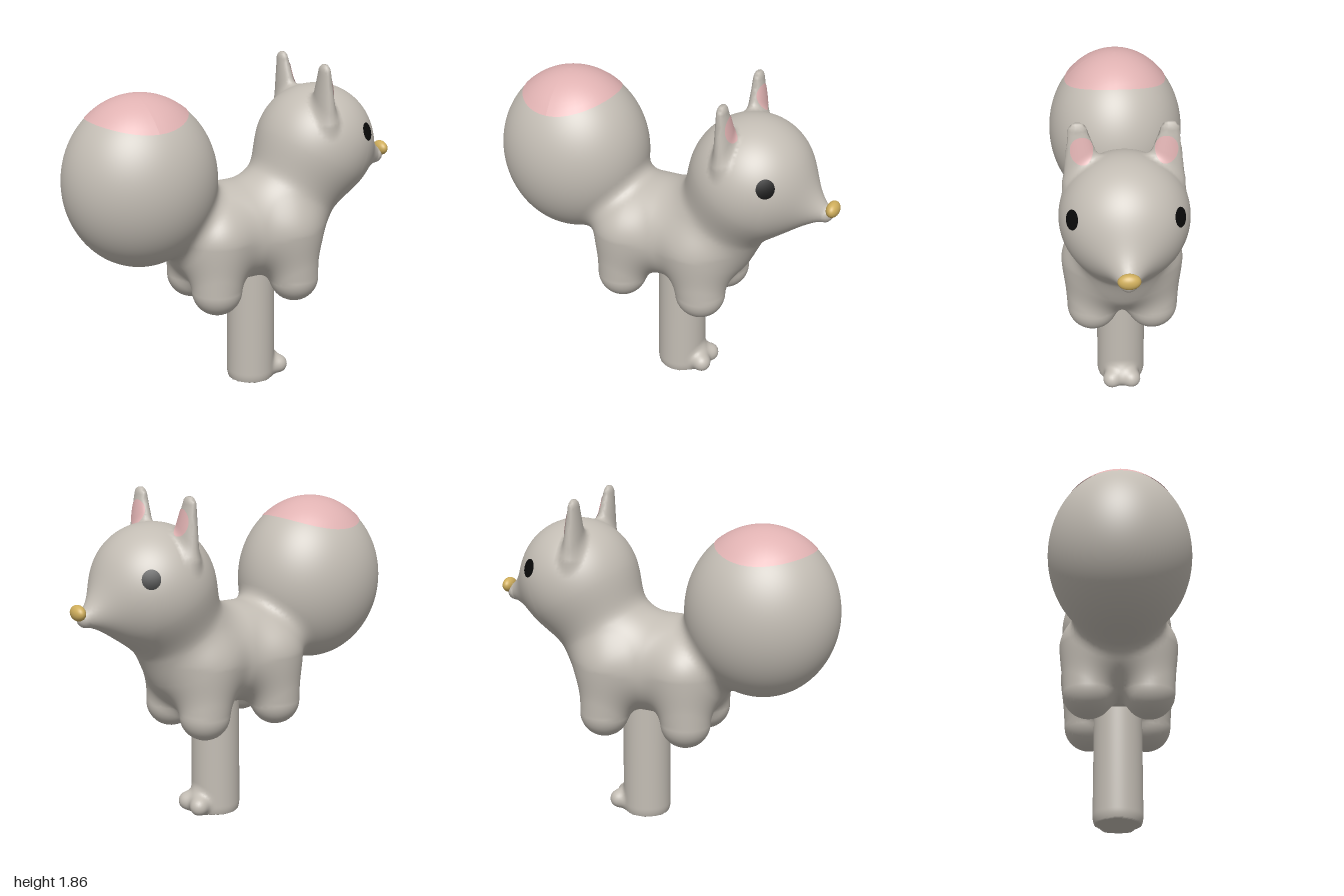
import * as THREE from 'three';

const V = (x, y, z) => new THREE.Vector3(x, y, z);
const material = (name, color, extra = {}) => Object.assign(new THREE.MeshStandardMaterial({ color, ...extra }), { name });

// Tapered capsule from a to b, radii ra to rb, stretched by s, blended over distance k
const limb = (a, b, ra, rb, k, s = [1, 1, 1]) => {
  const d = [0, 1, 2].map(i => (b[i] - a[i]) / s[i]);
  const dd = d[0] ** 2 + d[1] ** 2 + d[2] ** 2 || 1;
  const dist = (x, y, z) => {
    const qx = (x - a[0]) / s[0], qy = (y - a[1]) / s[1], qz = (z - a[2]) / s[2];
    const t = Math.min(1, Math.max(0, (qx * d[0] + qy * d[1] + qz * d[2]) / dd));
    return Math.hypot(qx - d[0] * t, qy - d[1] * t, qz - d[2] * t) - ra - (rb - ra) * t;
  };
  return { dist, k };
};
const ball = (c, r, k, s) => limb(c, c, r, r, k, s);
const pair = make => [make(1), make(-1)];

// Smooth union of all limbs, cut flat at the ground
const blend = limbs => (x, y, z) => {
  let f = 10;
  for (const { dist, k } of limbs) {
    const g = dist(x, y, z), h = Math.max(k - Math.abs(f - g), 0);
    f = Math.min(f, g) - (h * h) / (4 * k);
  }
  return Math.max(f, -y);
};

const gradient = (f, p, e = 0.004) => V(
  f(p.x + e, p.y, p.z) - f(p.x - e, p.y, p.z),
  f(p.x, p.y + e, p.z) - f(p.x, p.y - e, p.z),
  f(p.x, p.y, p.z + e) - f(p.x, p.y, p.z - e)).divideScalar(2 * e);

// Smooth skin around a blended form: one vertex per crossed cell, one quad per crossed edge
function skin(f, min, max, step) {
  const n = [0, 1, 2].map(i => Math.ceil((max[i] - min[i]) / step) + 1);
  const stride = [1, n[0], n[0] * n[1]];
  const values = new Float32Array(n[0] * n[1] * n[2]);
  const eachCell = visit => {
    for (let k = 0; k < n[2]; k++) for (let j = 0; j < n[1]; j++) for (let i = 0; i < n[0]; i++)
      visit([i, j, k], i + j * stride[1] + k * stride[2]);
  };
  eachCell((c, id) => { values[id] = f(...c.map((v, a) => min[a] + v * step)); });

  const vertexOf = new Int32Array(values.length).fill(-1);
  const positions = [], normals = [], index = [];
  eachCell((c, id) => {
    if (c.some((v, a) => v >= n[a] - 1)) return;
    const sum = [0, 0, 0];
    let count = 0;
    for (let corner = 0; corner < 8; corner++) for (let a = 0; a < 3; a++) {
      if (corner & (1 << a)) continue;
      const o = [corner & 1, (corner >> 1) & 1, corner >> 2];
      const start = id + o[0] + o[1] * stride[1] + o[2] * stride[2];
      const v0 = values[start], v1 = values[start + stride[a]];
      if (v0 < 0 === v1 < 0) continue;
      o[a] += v0 / (v0 - v1);
      o.forEach((v, i) => { sum[i] += v; });
      count++;
    }
    if (!count) return;
    const p = V(...sum.map((s, a) => min[a] + (c[a] + s / count) * step));
    const g = gradient(f, p);
    const pull = THREE.MathUtils.clamp(f(p.x, p.y, p.z) / Math.max(g.lengthSq(), 0.2), -step / 2, step / 2);
    p.addScaledVector(g, -pull);
    const normal = gradient(f, p).normalize();
    vertexOf[id] = positions.length / 3;
    positions.push(p.x, p.y, p.z);
    normals.push(normal.x, normal.y, normal.z);
  });
  eachCell((c, id) => {
    for (let a = 0; a < 3; a++) {
      const u = (a + 1) % 3, v = (a + 2) % 3;
      if (c[a] >= n[a] - 1 || !c[u] || !c[v]) continue;
      const inside = values[id] < 0;
      if (inside === values[id + stride[a]] < 0) continue;
      const q = [id - stride[u] - stride[v], id - stride[v], id, id - stride[u]].map(m => vertexOf[m]);
      if (!inside) q.reverse();
      if (q.includes(-1)) continue;
      index.push(q[0], q[1], q[2], q[0], q[2], q[3]);
    }
  });
  const geometry = new THREE.BufferGeometry();
  geometry.setAttribute('position', new THREE.Float32BufferAttribute(positions, 3));
  geometry.setAttribute('normal', new THREE.Float32BufferAttribute(normals, 3));
  geometry.setIndex(index);
  return geometry;
}

// Oval patch laid onto a blended form, looking along n
function patch(f, center, n, up, rx, ry, lift) {
  n.normalize();
  const geometry = new THREE.RingGeometry(0, 1, 40, 12);
  const turn = new THREE.Matrix4().lookAt(n, V(0, 0, 0), up);
  const pos = geometry.attributes.position, p = V(0, 0, 0);
  for (let i = 0; i < pos.count; i++) {
    p.set(pos.getX(i) * rx, pos.getY(i) * ry, 0).applyMatrix4(turn).add(center).addScaledVector(n, lift);
    for (let s = 0; s < 80; s++) p.addScaledVector(n, -0.5 * (f(p.x, p.y, p.z) - 0.004));
    pos.setXYZ(i, p.x, p.y, p.z);
  }
  geometry.computeVertexNormals();
  return geometry;
}

export function createModel() {
  const model = new THREE.Group();
  model.name = 'foxFigure';
  const fur = material('warm grey fur', 0xc3bdb4);
  const pink = material('soft pink', 0xe0b2b2, { side: THREE.DoubleSide });
  const black = material('eye black', 0x0a0a0a, { side: THREE.DoubleSide });
  const gold = material('nose gold', 0xcfae5c);
  const add = (name, geometry, mat) => {
    const mesh = new THREE.Mesh(geometry, mat);
    mesh.name = name;
    model.add(mesh);
    return mesh;
  };

  // Torso, neck, head, snout, four stubby legs, ears and round tail, all flowing together
  const bodyForm = blend([
    limb([-0.14, 0.92, 0], [0.22, 0.93, 0], 0.285, 0.285, 0.01),
    limb([0.27, 0.97, 0], [0.47, 1.3, 0], 0.26, 0.28, 0.1),
    ball([0.51, 1.37, 0], 0.336, 0.08),
    limb([0.68, 1.3, 0], [0.92, 1.245, 0], 0.2, 0.05, 0.1),
    ...pair(m => limb([-0.2, 0.643, 0.165 * m], [-0.18, 0.92, 0.15 * m], 0.14, 0.172, 0.08)),
    ...pair(m => limb([0.29, 0.643, 0.165 * m], [0.26, 0.92, 0.15 * m], 0.14, 0.172, 0.08)),
    ...pair(m => limb([0.44, 1.55, 0.2 * m], [0.425, 1.812, 0.23 * m], 0.11, 0.05, 0.05, [0.55, 1, 1])),
    ball([-0.575, 1.28, 0], 0.425, 0.08, [1, 1.106, 0.906]),
  ]);
  add('body', skin(bodyForm, [-1.05, 0.45, -0.45], [1.05, 1.92, 0.45], 0.02), fur);

  // Single standing leg with a two-toed foot
  const legForm = blend([
    limb([0.1, 0.05, 0], [0.1, 0.72, 0], 0.138, 0.135, 0.01),
    ball([0.2, 0.065, 0], 0.08, 0.04),
    ...pair(m => ball([0.255, 0.06, 0.056 * m], 0.053, 0.03)),
  ]);
  add('standingLeg', skin(legForm, [-0.08, -0.05, -0.2], [0.36, 0.9, 0.2], 0.0125), fur);

  // Painted tail tip
  add('tailTip', patch(bodyForm, V(-0.585, 1.625, 0), V(-0.1, 1, 0), V(1, 0, 0), 0.29, 0.272, 0.2), pink);

  // Eyes and inner ears on both sides
  for (const [side, m] of [['left', 1], ['right', -1]]) {
    add(`${side}SideEye`, patch(bodyForm, V(0.69, 1.465, 0.27 * m), V(0.18, 0.095, 0.27 * m), V(0, 1, 0), 0.049, 0.052, 0.06), black);
    add(`${side}SideInnerEar`, patch(bodyForm, V(0.48, 1.725, 0.212 * m), V(1, 0, 0), V(0, 1, 0), 0.058, 0.07, 0.06), pink);
  }

  // Nose
  const nose = add('nose', new THREE.SphereGeometry(1, 32, 20), gold);
  nose.position.set(0.965, 1.28, 0);
  nose.scale.set(0.035, 0.042, 0.058);
  return model;
}
